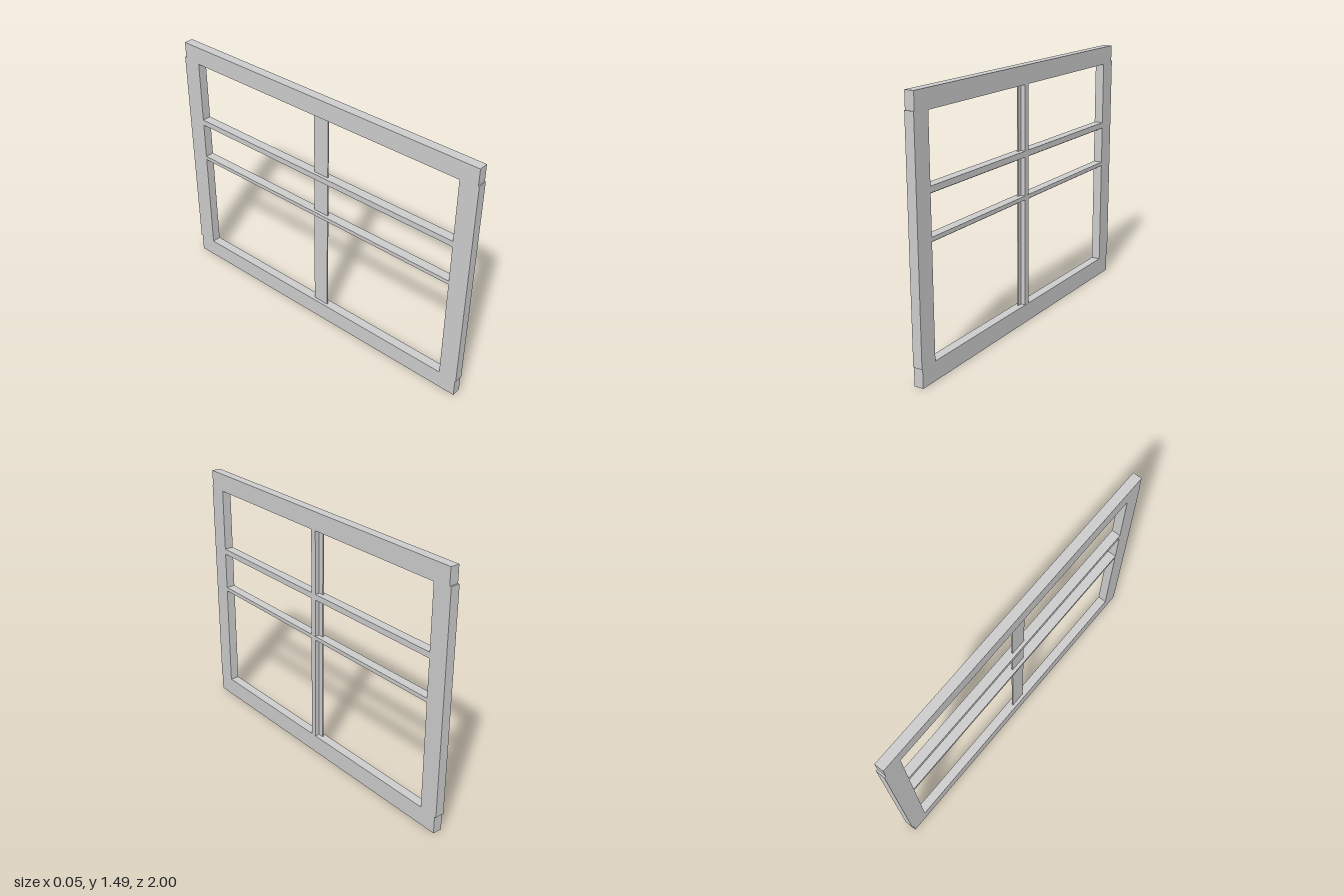
import * as THREE from 'three';

const D = 0.054; // frame depth along x

export function createModel() {
  const model = new THREE.Group();
  model.name = 'windowSash';
  const material = new THREE.MeshStandardMaterial({ color: 0xcccccc, flatShading: true });

  // Box given by its limits on each axis
  function bar(name, [x0, x1], [y0, y1], [z0, z1]) {
    const mesh = new THREE.Mesh(new THREE.BoxGeometry(x1 - x0, y1 - y0, z1 - z0), material);
    mesh.position.set((x0 + x1) / 2, (y0 + y1) / 2, (z0 + z1) / 2);
    mesh.name = name;
    model.add(mesh);
  }

  const full = [-D / 2, D / 2];
  const plate = [-0.008, 0]; // thin central glazing fin

  // Outer frame: rails sit slightly inside the ends of the stiles
  bar('topRail', full, [1.38, 1.485], [-0.99, 0.995]);
  bar('bottomRail', full, [0, 0.108], [-0.99, 0.995]);
  bar('frontStile', full, [0.105, 1.39], [0.891, 1]);
  bar('backStile', full, [0.105, 1.39], [-1, -0.888]);

  // Upright glazing bar: wide thin fin with a narrow rib on one face
  bar('uprightFin', plate, [0.108, 1.38], [-0.032, 0.064]);
  bar('uprightRib', [-0.004, D / 2 - 0.001], [0.108, 1.38], [0, 0.035]);

  // Cross bars: full-depth bar with a thin fin hanging below
  for (const [name, fin, low, high] of [
    ['upper', 0.966, 0.98, 1.014],
    ['lower', 0.72, 0.736, 0.759],
  ]) {
    bar(name + 'CrossBar', full, [low, high], [-0.888, 0.891]);
    bar(name + 'FinFront', plate, [fin, low], [0.064, 0.891]);
    bar(name + 'FinBack', plate, [fin, low], [-0.888, -0.032]);
  }
  return model;
}
